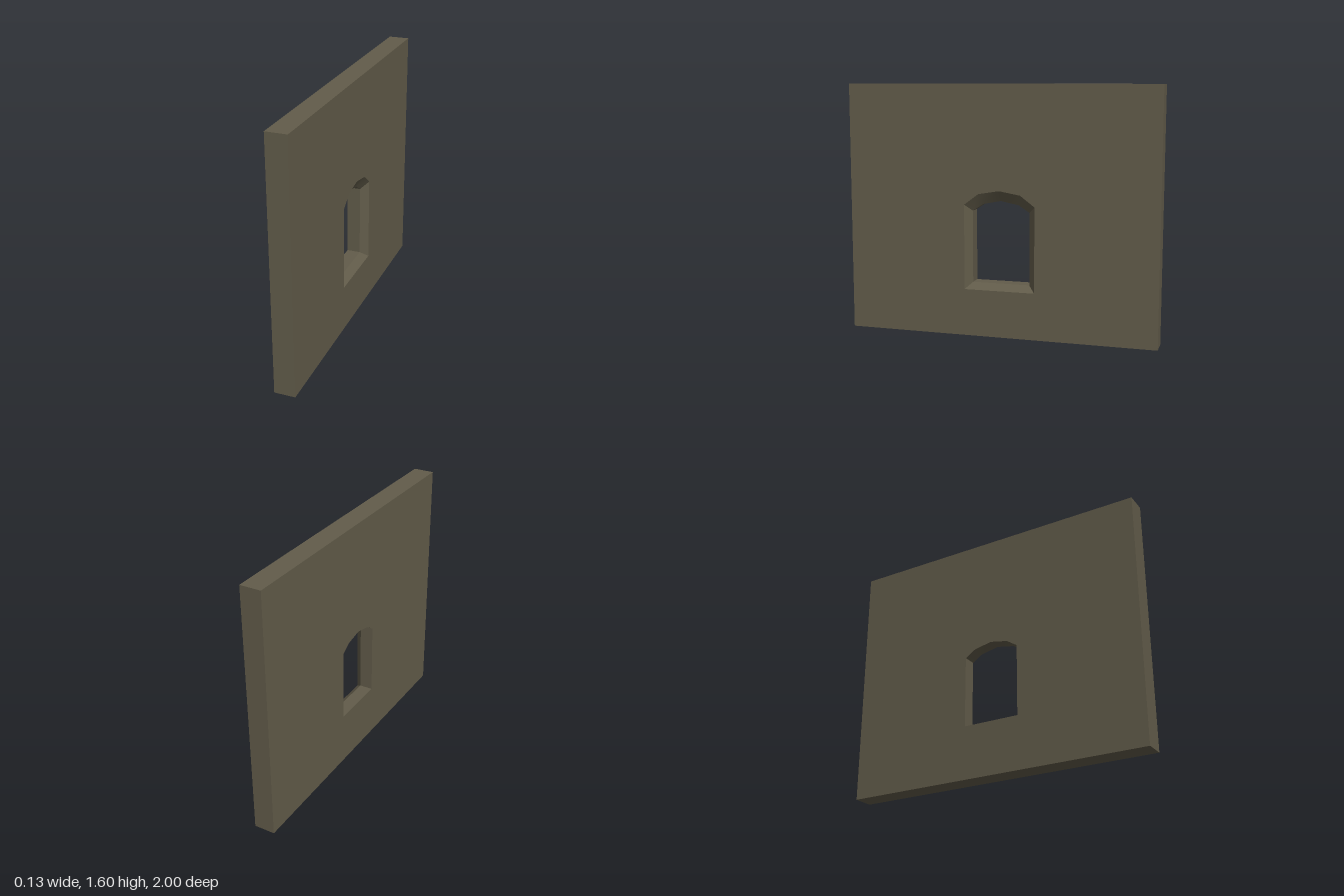
import * as THREE from 'three';
import { toCreasedNormals } from 'three/addons/utils/BufferGeometryUtils.js';

const FRONT = 0.066, BACK = -0.066, STEP = 0.019; // depths along the wall's thickness

// Symmetric arched outline, counter-clockwise from the lower left corner
function archRing(sill, halfWidth, spring, haunchX, haunchY, crown) {
  return [
    [-halfWidth, sill], [halfWidth, sill], [halfWidth, spring],
    [haunchX, haunchY], [0, crown], [-haunchX, haunchY], [-halfWidth, spring],
  ].map(([x, y]) => new THREE.Vector2(x, y));
}

// Strip of quads joining two outlines at different depths
function band(ringA, depthA, ringB, depthB) {
  const pos = [];
  ringA.forEach((a, i) => {
    const j = (i + 1) % ringA.length;
    const p = [a.x, a.y, depthA], q = [ringA[j].x, ringA[j].y, depthA];
    const r = [ringB[j].x, ringB[j].y, depthB], s = [ringB[i].x, ringB[i].y, depthB];
    pos.push(...p, ...q, ...r, ...p, ...r, ...s);
  });
  const geo = new THREE.BufferGeometry();
  geo.setAttribute('position', new THREE.Float32BufferAttribute(pos, 3));
  return toCreasedNormals(geo, 0.55);
}

// Flat wall face with the window cut out
function face(outline, hole) {
  const shape = new THREE.Shape(outline);
  shape.holes.push(new THREE.Path(hole));
  return new THREE.ShapeGeometry(shape);
}

export function createModel() {
  const group = new THREE.Group();
  group.name = 'wallWithWindow';
  const stone = new THREE.MeshStandardMaterial({ color: 0x625c4a });
  stone.name = 'olive stone';

  const add = (name, geo) => {
    geo.rotateY(Math.PI / 2); // the local front turns to +x
    const mesh = new THREE.Mesh(geo, stone);
    mesh.name = name;
    group.add(mesh);
  };

  const wall = [[-1, 0], [1, 0], [1, 1.595], [-1, 1.595]].map(([x, y]) => new THREE.Vector2(x, y));
  const outer = archRing(0.30, 0.228, 0.842, 0.135, 0.912, 0.935);
  const inner = archRing(0.34, 0.185, 0.80, 0.115, 0.845, 0.868);

  // Wall faces and edges
  add('splayedFace', face(wall, outer).translate(0, 0, FRONT));
  add('plainFace', face(wall, inner).rotateY(Math.PI).translate(0, 0, BACK));
  const reversed = [...wall].reverse();
  add('wallEdges', band(reversed, FRONT, reversed, BACK));

  // Window opening: splayed surround, then a straight reveal
  add('windowSplay', band(outer, FRONT, inner, STEP));
  add('windowReveal', band(inner, STEP, inner, BACK));

  return group;
}
